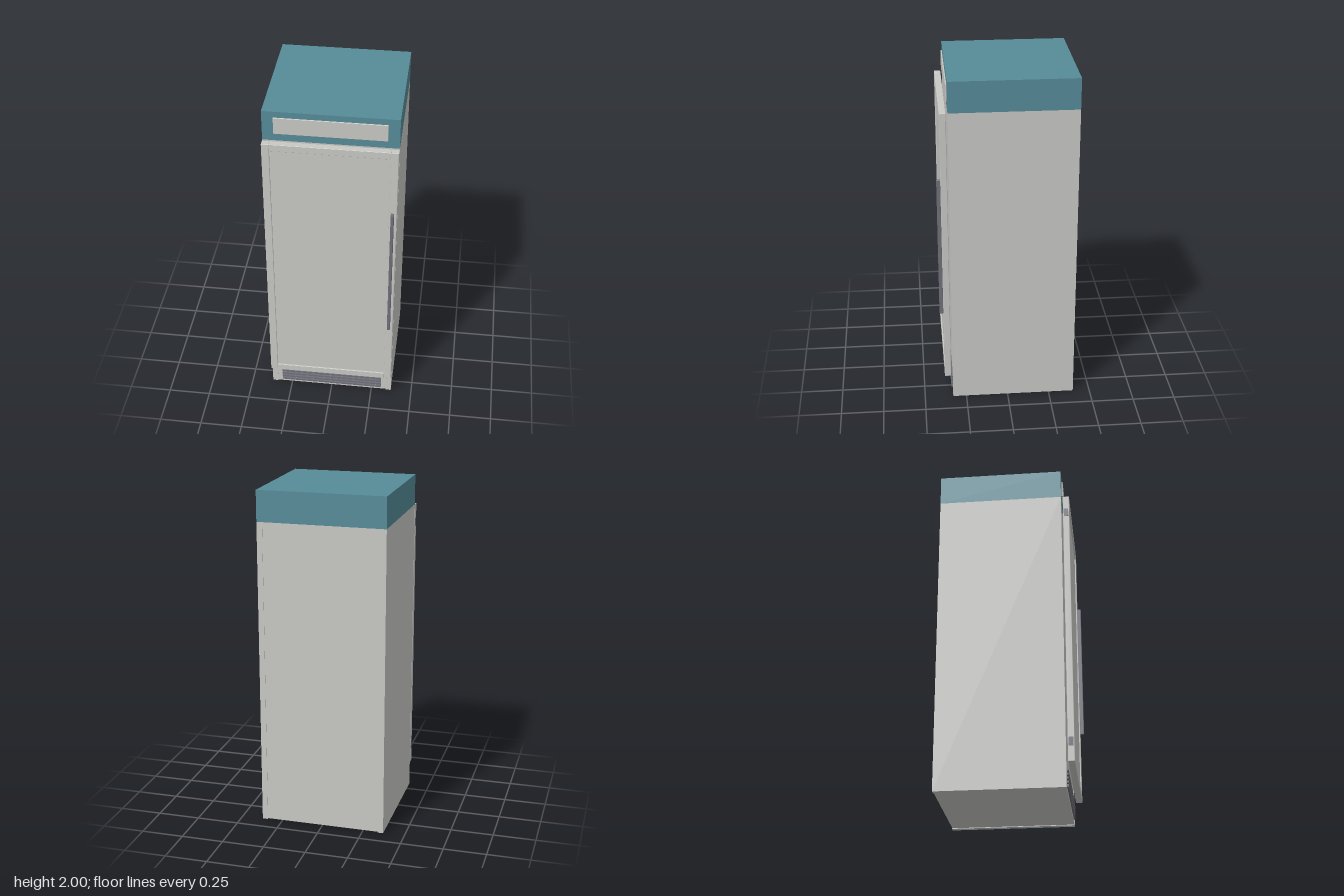
import * as THREE from 'three';
import { RoundedBoxGeometry } from 'three/addons/geometries/RoundedBoxGeometry.js';

const mat = (name, color) => {
  const m = new THREE.MeshStandardMaterial({ color });
  m.name = name;
  return m;
};

export function createModel() {
  const steel = mat('light grey steel', 0xc8c8c5);
  const teal = mat('teal paint', 0x568c99);
  const dark = mat('dark grey metal', 0x70707a);

  const model = new THREE.Group();
  model.name = 'uprightRefrigerator';

  // Box given by its minimum and maximum corners, optionally with eased edges
  function box(parent, name, material, [x0, y0, z0], [x1, y1, z1], radius = 0) {
    const size = [x1 - x0, y1 - y0, z1 - z0];
    const geo = radius ? new RoundedBoxGeometry(...size, 1, radius) : new THREE.BoxGeometry(...size);
    const mesh = new THREE.Mesh(geo, material);
    mesh.name = name;
    mesh.position.set((x0 + x1) / 2, (y0 + y1) / 2, (z0 + z1) / 2);
    parent.add(mesh);
    return mesh;
  }

  const W = 0.373, BACK = -0.4, FRONT = 0.33, SPLIT = 1.82;

  // Cabinet: two full-depth side walls around a core inset by a hair
  const cabinet = new THREE.Group();
  cabinet.name = 'cabinet';
  model.add(cabinet);
  box(cabinet, 'rightWall', steel, [-W, 0, BACK], [-0.34, SPLIT, FRONT]);
  box(cabinet, 'leftWall', steel, [0.34, 0, BACK], [W, SPLIT, FRONT]);
  box(cabinet, 'core', steel, [-0.34, 0.004, BACK + 0.003], [0.34, SPLIT, FRONT - 0.002]);

  // Painted header with its display panel
  box(model, 'header', teal, [-W, SPLIT, BACK], [W, 2, FRONT]);
  box(model, 'headerPanel', steel, [-0.31, 1.865, FRONT], [0.31, 1.965, FRONT + 0.008], 0.002);

  // Ventilation grille in the plinth
  const grille = new THREE.Group();
  grille.name = 'grille';
  model.add(grille);
  for (let i = 0; i < 5; i++) {
    const y = 0.03 + i * 0.0222;
    box(grille, 'grilleSlat', dark, [-0.31, y - 0.006, FRONT - 0.004], [0.31, y + 0.006, FRONT + 0.008]);
  }

  // Framed door: stiles, rails and a recessed panel
  const door = new THREE.Group();
  door.name = 'door';
  model.add(door);
  const B = 0.145, Z0 = 0.34, Z1 = 0.378;
  for (const s of [-1, 1]) {
    const x = [s * 0.33, s * W].sort((a, b) => a - b);
    box(door, 'doorStile', steel, [x[0], B, Z0], [x[1], SPLIT, Z1], 0.003);
  }
  box(door, 'bottomRail', steel, [-0.33, B, Z0], [0.33, 0.187, Z1], 0.002);
  box(door, 'topRail', steel, [-0.33, 1.778, Z0], [0.33, SPLIT, Z1], 0.002);
  box(door, 'doorPanel', steel, [-0.332, 0.185, Z0 + 0.002], [0.332, 1.78, Z1 - 0.008]);

  // Hinge plates on the door edge and the pull handle opposite
  for (const y of [0.26, 1.71]) {
    box(door, 'hingePlate', dark, [-W - 0.001, y - 0.025, Z0 + 0.005], [-W + 0.004, y + 0.025, Z1 - 0.006]);
  }
  box(door, 'handle', dark, [0.34, 0.57, Z1 - 0.001], [0.358, 1.42, 0.4], 0.003);

  return model;
}
